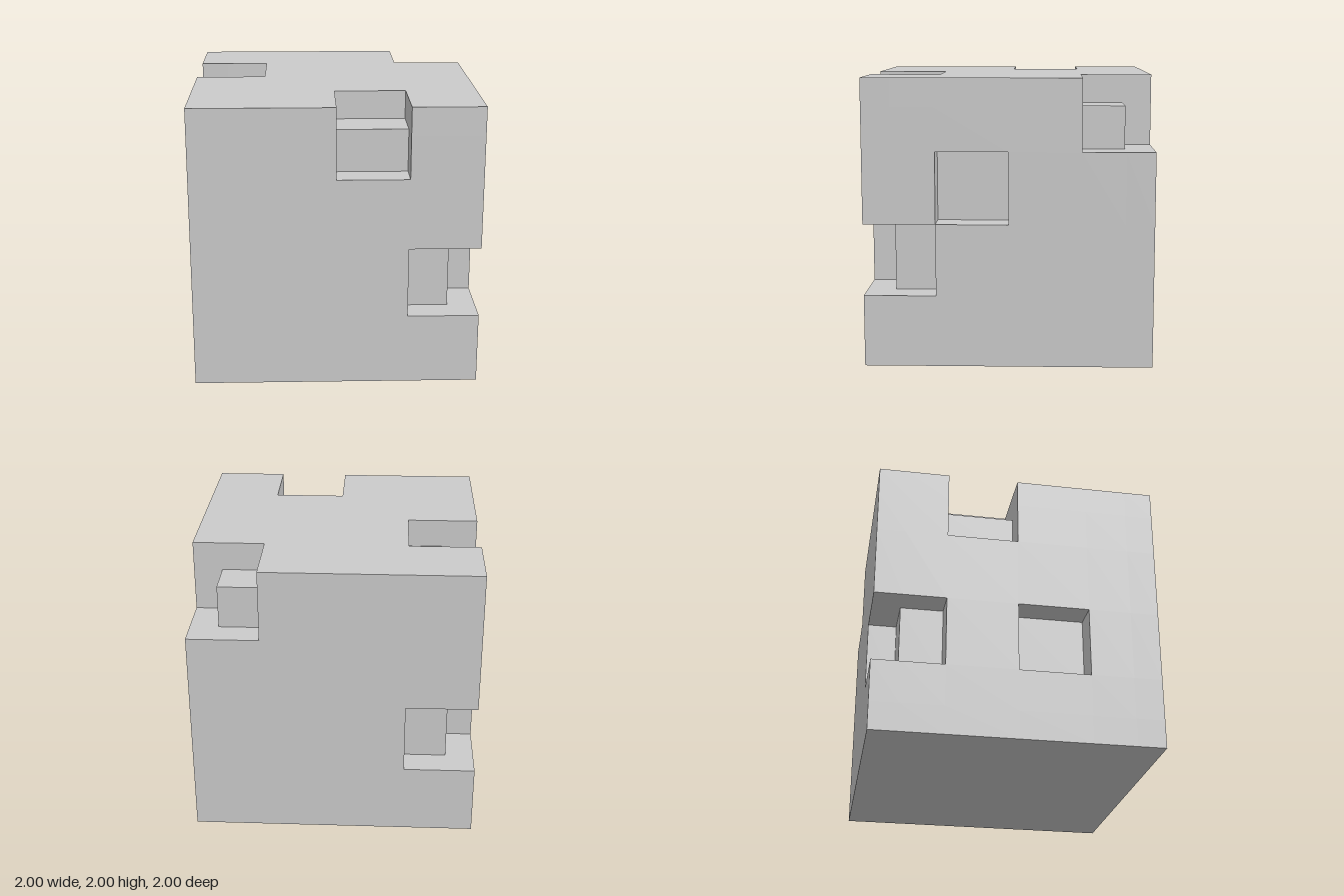
import * as THREE from 'three';

// Grid lines shared by all three axes (block centred on the origin)
const LINES = [-1, -0.8, -0.5, 0, 0.5, 0.8, 1];
const CORE = 0.8; // half size of the inner core showing inside the notches
const NOTCH = 0.5;

// Lowest corner of each missing half-unit cube
const NOTCHES = [
  [0, 0.5, 0.5],     // front top edge
  [0.5, -0.5, 0.5],  // front left upright edge
  [0.5, 0, 0],       // pocket in the left side
  [0.5, 0.5, -1],    // back left top corner
  [-1, 0.5, -0.5],   // right top edge
  [-1, -0.5, -1],    // back right upright edge
  [-1, -0.5, 0],     // pocket in the right side
];

// A grid cell is solid when it belongs to the core or lies outside every notch
function isSolid(cell) {
  if (cell.some((i) => i < 0 || i >= LINES.length - 1)) return false;
  const mid = cell.map((i) => (LINES[i] + LINES[i + 1]) / 2);
  if (mid.every((m) => Math.abs(m) < CORE)) return true;
  return !NOTCHES.some((n) => mid.every((m, k) => m > n[k] && m < n[k] + NOTCH));
}

// Outer skin: one quad wherever a solid cell meets an empty one
function carvedGeometry() {
  const positions = [];
  const count = LINES.length - 1;

  function addFace(cell, axis, side) {
    const u = (axis + 1) % 3;
    const v = (axis + 2) % 3;
    const corners = [[0, 0], [1, 0], [1, 1], [0, 1]].map(([du, dv]) => {
      const p = [];
      p[axis] = LINES[cell[axis] + (side > 0 ? 1 : 0)];
      p[u] = LINES[cell[u] + du];
      p[v] = LINES[cell[v] + dv];
      return p;
    });
    if (side < 0) corners.reverse();
    for (const i of [0, 1, 2, 0, 2, 3]) positions.push(...corners[i]);
  }

  for (let x = 0; x < count; x++)
    for (let y = 0; y < count; y++)
      for (let z = 0; z < count; z++) {
        const cell = [x, y, z];
        if (!isSolid(cell)) continue;
        for (let axis = 0; axis < 3; axis++)
          for (const side of [-1, 1]) {
            const next = [...cell];
            next[axis] += side;
            if (!isSolid(next)) addFace(cell, axis, side);
          }
      }

  const geometry = new THREE.BufferGeometry();
  geometry.setAttribute('position', new THREE.Float32BufferAttribute(positions, 3));
  geometry.computeVertexNormals();
  return geometry;
}

export function createModel() {
  const group = new THREE.Group();
  group.name = 'notchedCube';
  const material = new THREE.MeshStandardMaterial({ color: 0xcccccc, flatShading: true });
  const block = new THREE.Mesh(carvedGeometry(), material);
  block.name = 'carvedBlock';
  block.position.y = 1;
  group.add(block);
  return group;
}
